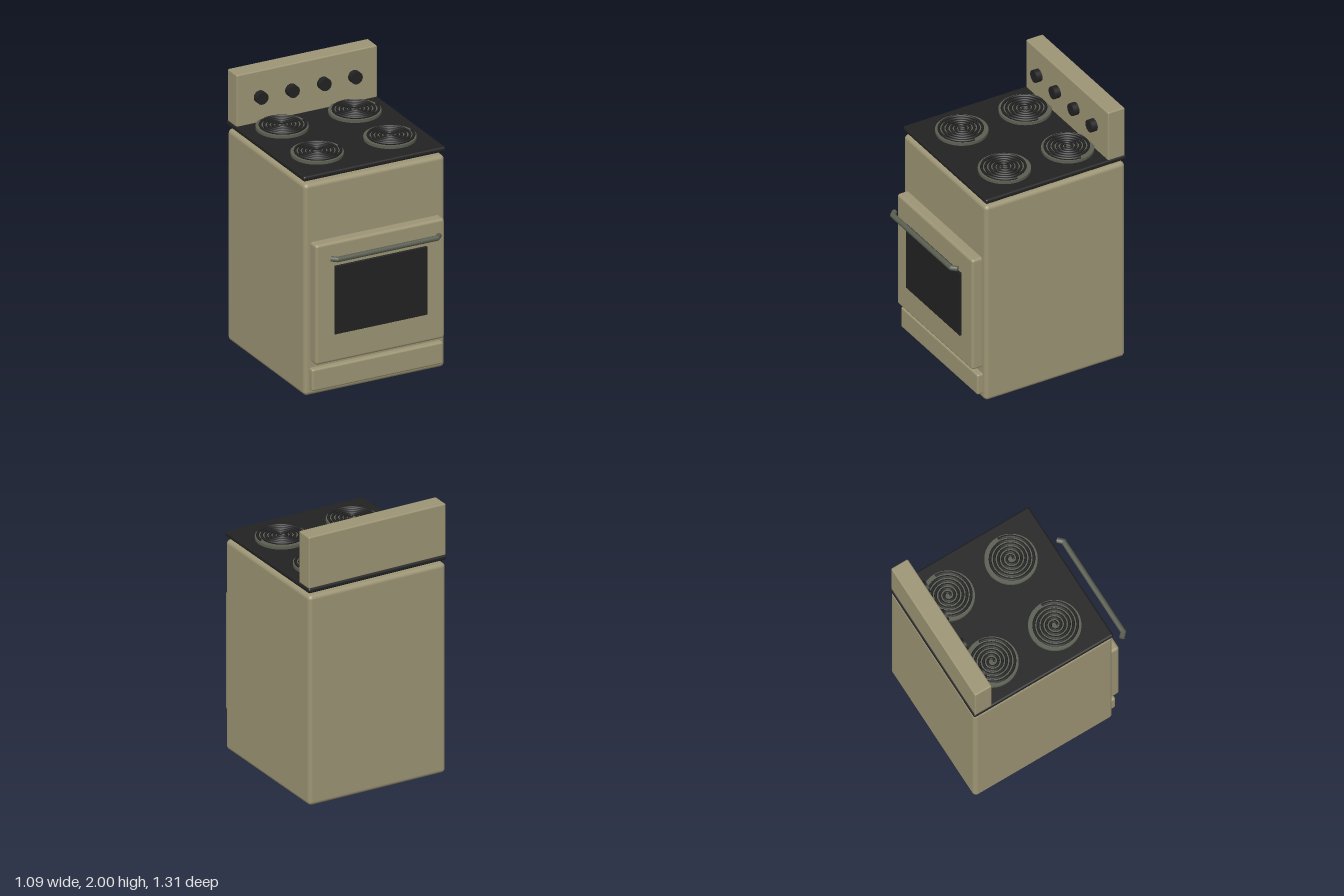
import * as THREE from 'three';
import { RoundedBoxGeometry } from 'three/addons/geometries/RoundedBoxGeometry.js';

function material(name, color) {
  const m = new THREE.MeshStandardMaterial({ color });
  m.name = name;
  return m;
}

// Outward end of the heating coil, running inwards in a flat spiral
class CoilCurve extends THREE.Curve {
  getPoint(t, target = new THREE.Vector3()) {
    const angle = t * 5.3 * Math.PI * 2;
    const r = 0.165 - 0.028 * 5.3 * t;
    return target.set(r * Math.cos(angle), 0, r * Math.sin(angle));
  }
}

export function createModel() {
  const stove = new THREE.Group();
  stove.name = 'stove';
  const enamel = material('beige enamel', 0x9c9474);
  const black = material('black', 0x222222);
  const steel = material('grey green metal', 0x5a5e50);

  function add(parent, name, geometry, mat, x = 0, y = 0, z = 0) {
    const mesh = new THREE.Mesh(geometry, mat);
    mesh.name = name;
    mesh.position.set(x, y, z);
    parent.add(mesh);
    return mesh;
  }

  // Rounded box given by its lower and upper limits, symmetric in x
  function panel(name, mat, halfWidth, y0, y1, z0, z1, radius) {
    const g = new RoundedBoxGeometry(halfWidth * 2, y1 - y0, z1 - z0, 4, radius);
    return add(stove, name, g, mat, 0, (y0 + y1) / 2, (z0 + z1) / 2);
  }

  // Cabinet, cooktop and panels
  panel('body', enamel, 0.54, 0, 1.56, -0.65, 0.455, 0.03);
  panel('cooktop', black, 0.547, 1.585, 1.622, -0.655, 0.455, 0.015);
  panel('backPanel', enamel, 0.54, 1.615, 2, -0.645, -0.512, 0.01);
  panel('ovenDoor', enamel, 0.495, 0.25, 1.133, 0.44, 0.533, 0.02);
  panel('drawer', enamel, 0.505, 0.045, 0.207, 0.44, 0.498, 0.015);
  panel('ovenWindow', black, 0.354, 0.457, 0.96, 0.525, 0.547, 0.003);

  // Door handle: straight bar with short ends bent towards the door
  const handle = new THREE.Group();
  handle.name = 'doorHandle';
  stove.add(handle);
  const barRadius = 0.019;
  const bar = new THREE.CylinderGeometry(barRadius, barRadius, 0.766, 16).rotateZ(Math.PI / 2);
  add(handle, 'handleBar', bar, steel, 0, 1.05, 0.632);
  for (const side of [-1, 1]) {
    const end = new THREE.CylinderGeometry(barRadius, barRadius, 0.046, 16)
      .rotateZ(Math.PI / 2).rotateY(side * Math.PI / 4);
    add(handle, 'handleEnd', end, steel, side * 0.399, 1.05, 0.616);
    add(handle, 'handleCorner', new THREE.SphereGeometry(barRadius, 16, 10), steel, side * 0.383, 1.05, 0.632);
  }

  // Control knobs
  const knob = new THREE.CylinderGeometry(0.045, 0.045, 0.05, 20).rotateX(Math.PI / 2);
  for (const x of [-0.365, -0.124, 0.121, 0.36]) add(stove, 'knob', knob, black, x, 1.811, -0.493);

  // Burners: drip pan with a spiral heating coil
  const pan = new THREE.CylinderGeometry(0.181, 0.181, 0.025, 48);
  const coil = new THREE.TubeGeometry(new CoilCurve(), 240, 0.0095, 8, false);
  const outerCap = new THREE.CircleGeometry(0.0095, 8).rotateY(Math.PI);
  const innerCap = new THREE.SphereGeometry(0.0095, 8, 6);
  const innerEnd = new CoilCurve().getPoint(1);
  for (const x of [-0.28, 0.28]) {
    for (const z of [-0.35, 0.15]) {
      const burner = new THREE.Group();
      burner.name = 'burner';
      burner.position.set(x, 0, z);
      stove.add(burner);
      add(burner, 'dripPan', pan, steel, 0, 1.63, 0);
      add(burner, 'heatingCoil', coil, black, 0, 1.65, 0);
      add(burner, 'coilOuterEnd', outerCap, black, 0.165, 1.65, 0);
      add(burner, 'coilInnerEnd', innerCap, black, innerEnd.x, 1.65, innerEnd.z);
    }
  }
  return stove;
}
